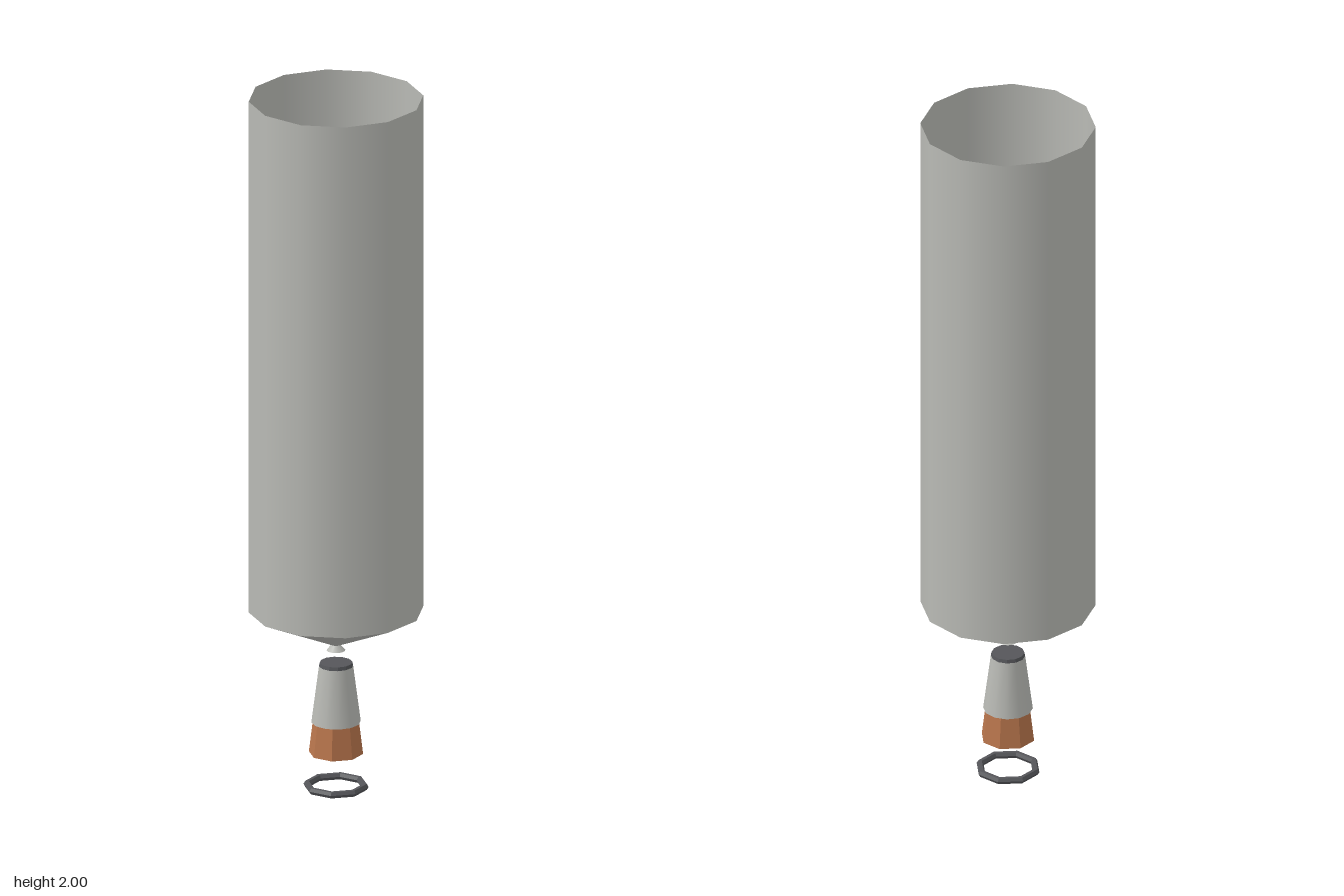
import * as THREE from 'three';

const D = THREE.DoubleSide;
const steel = new THREE.MeshStandardMaterial({ name: 'light grey metal', color: 0xb9bab5, side: D });
const copper = new THREE.MeshStandardMaterial({ name: 'copper', color: 0xb8754c, side: D, flatShading: true });
const dark = new THREE.MeshStandardMaterial({ name: 'dark grey', color: 0x55565a, side: D, flatShading: true });

export function createModel() {
  const group = new THREE.Group();

  // Frustum between two heights, open at both ends unless capped
  const frustum = (name, material, y0, r0, y1, r1, sides, open = true) => {
    const mesh = new THREE.Mesh(new THREE.CylinderGeometry(r1, r0, y1 - y0, sides, 1, open), material);
    mesh.name = name;
    mesh.position.y = (y0 + y1) / 2;
    group.add(mesh);
  };

  // Tank shell: open tube narrowing to a small flared outlet
  frustum('tankWall', steel, 0.52, 0.24, 2, 0.24, 12);
  frustum('tankCone', steel, 0.418, 0.012, 0.52, 0.24, 12);
  frustum('outletFlare', steel, 0.402, 0.026, 0.418, 0.012, 12);

  // Nozzle: dark cap, grey bell and faceted copper skirt
  frustum('nozzleCap', dark, 0.357, 0.047, 0.367, 0.045, 12, false);
  frustum('nozzleBell', steel, 0.195, 0.068, 0.357, 0.047, 12);
  frustum('nozzleSkirt', copper, 0.105, 0.075, 0.195, 0.064, 8);

  // Loose ring at the bottom
  const ring = new THREE.Mesh(new THREE.TorusGeometry(0.08, 0.01, 6, 8), dark);
  ring.name = 'baseRing';
  ring.rotation.x = Math.PI / 2;
  ring.position.y = 0.01;
  group.add(ring);

  return group;
}
